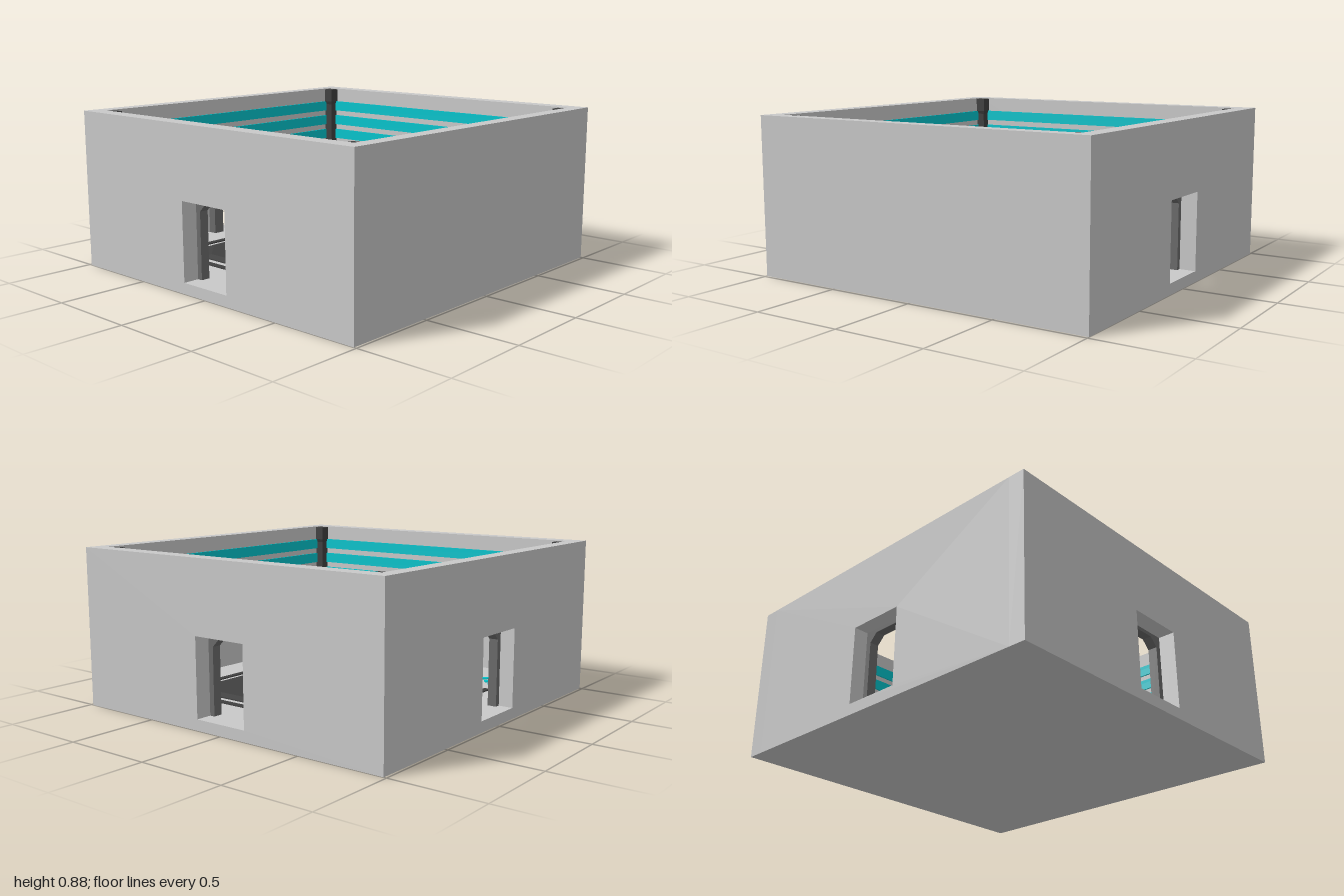
import * as THREE from 'three';

const mat = (name, color) => {
  const m = new THREE.MeshStandardMaterial({ color });
  m.name = name;
  return m;
};

export function createModel() {
  const wallGrey = mat('wall grey', 0xc9c9c9);
  const charcoal = mat('charcoal', 0x404040);
  const frameGrey = mat('frame grey', 0x6a6a6a);
  const teal = mat('teal', 0x00c4cc);

  const X = 1, Z = 0.985, H = 0.875;   // outer half sizes and height
  const IX = 0.91, IZ = 0.905;         // inner half sizes
  const FLOOR = 0.06;

  const room = new THREE.Group();
  room.name = 'room';

  const add = (parent, name, geometry, material, x = 0, y = 0, z = 0) => {
    const mesh = new THREE.Mesh(geometry, material);
    mesh.name = name;
    mesh.position.set(x, y, z);
    parent.add(mesh);
    return mesh;
  };
  const box = (w, h, d) => new THREE.BoxGeometry(w, h, d);
  const polygon = (points) => points.map(([x, y]) => new THREE.Vector2(x, y));
  const extrude = (shape, depth) =>
    new THREE.ExtrudeGeometry(shape, { depth, bevelEnabled: false });

  // Floor slab
  add(room, 'floor', box(2 * IX, FLOOR, 2 * IZ), wallGrey, 0, FLOOR / 2, 0);

  // Arch with cut upper corners, open at the bottom
  const frameShape = new THREE.Shape(polygon([
    [-0.195, FLOOR], [-0.13, FLOOR], [-0.13, 0.42], [-0.085, 0.465],
    [0.085, 0.465], [0.13, 0.42], [0.13, FLOOR], [0.195, FLOOR],
    [0.195, 0.465], [0.145, 0.52], [-0.145, 0.52], [-0.195, 0.465],
  ]));

  // Four sides, each built as a back wall and turned into place
  const sides = [
    { name: 'back', angle: 0, outer: Z, inner: IZ, half: IX, span: IX, door: true },
    { name: 'front', angle: Math.PI, outer: Z, inner: IZ, half: IX, span: IX, door: false },
    { name: 'right', angle: Math.PI / 2, outer: X, inner: IX, half: Z, span: IZ, door: true },
    { name: 'left', angle: -Math.PI / 2, outer: X, inner: IX, half: Z, span: IZ, door: true },
  ];
  for (const s of sides) {
    const side = new THREE.Group();
    side.name = s.name + 'Side';
    side.rotation.y = s.angle;
    room.add(side);

    const wall = new THREE.Shape(polygon([[-s.half, 0], [s.half, 0], [s.half, H], [-s.half, H]]));
    if (s.door) {
      wall.holes.push(new THREE.Path(polygon(
        [[-0.16, FLOOR], [-0.16, 0.485], [0.16, 0.485], [0.16, FLOOR]])));
      add(side, 'doorFrame', extrude(frameShape, 0.05), frameGrey, 0, 0, -s.inner);
    }
    add(side, 'wall', extrude(wall, s.outer - s.inner), wallGrey, 0, 0, -s.outer);

    // Light bands high on the wall
    for (const y of [0.758, 0.663, 0.568]) {
      add(side, 'lightBand', box(2 * s.span - 0.06, 0.062, 0.009), teal, 0, y, -s.inner + 0.0045);
    }
    // Dark strip set on the floor beside the platform
    add(side, 'floorStrip', box(0.86, 0.006, 0.036), charcoal, 0, FLOOR + 0.003, -0.683);
  }

  // Square block that narrows toward the room corner: bottom size a, top size b
  const taper = (a, b, h) => {
    const g = box(1, h, 1).translate(0.5, h / 2, 0.5);
    const p = g.attributes.position;
    for (let i = 0; i < p.count; i++) {
      const size = p.getY(i) > h / 2 ? b : a;
      p.setX(i, p.getX(i) * size);
      p.setZ(i, p.getZ(i) * size);
    }
    const flat = g.toNonIndexed();
    flat.computeVertexNormals();
    return flat;
  };

  // Corner pillars and diagonal floor marks
  for (let i = 0; i < 4; i++) {
    const sx = i === 0 || i === 3 ? -1 : 1;
    const sz = i < 2 ? -1 : 1;
    const pillar = new THREE.Group();
    pillar.name = 'pillar';
    pillar.position.set(sx * IX, 0, sz * IZ);
    pillar.rotation.y = -i * Math.PI / 2;
    room.add(pillar);
    add(pillar, 'pillarBase', taper(0.085, 0.085, 0.04), charcoal, 0, FLOOR, 0);
    add(pillar, 'pillarBaseSlope', taper(0.085, 0.052, 0.03), charcoal, 0, FLOOR + 0.04, 0);
    add(pillar, 'pillarShaft', taper(0.052, 0.052, 0.65), charcoal, 0, FLOOR + 0.07, 0);
    add(pillar, 'pillarCapSlope', taper(0.052, 0.06, 0.02), charcoal, 0, 0.77, 0);
    add(pillar, 'pillarCap', taper(0.06, 0.06, 0.08), charcoal, 0, 0.79, 0);

    for (const k of [-1, 0, 1]) {
      const mark = add(room, 'floorMark', box(0.2, 0.006, 0.03), teal,
        sx * (0.652 + k * 0.053), FLOOR + 0.003, sz * (0.652 - k * 0.053));
      mark.rotation.y = -sx * sz * Math.PI / 4;
    }
  }

  // Raised eight-sided platform with a sloping rim
  const r = 0.62, c = 0.46;
  const ring = [[c, r], [r, c], [r, -c], [c, -r], [-c, -r], [-r, -c], [-r, c], [-c, r]];
  const pos = [], index = [];
  const level = (scale, y) => ring.forEach(([x, z]) => pos.push(x * scale, y, z * scale));
  level(1, FLOOR);
  level(1, FLOOR + 0.006);
  level(0.945, FLOOR + 0.02);
  for (let l = 0; l < 2; l++) {
    for (let i = 0; i < 8; i++) {
      const a = l * 8 + i, b = l * 8 + (i + 1) % 8;
      index.push(a, b, b + 8, a, b + 8, a + 8);
    }
  }
  for (let i = 1; i < 7; i++) index.push(16, 16 + i, 17 + i);
  const indexed = new THREE.BufferGeometry();
  indexed.setAttribute('position', new THREE.Float32BufferAttribute(pos, 3));
  indexed.setIndex(index);
  const platform = indexed.toNonIndexed();
  platform.computeVertexNormals();
  add(room, 'platform', platform, charcoal);

  return room;
}
